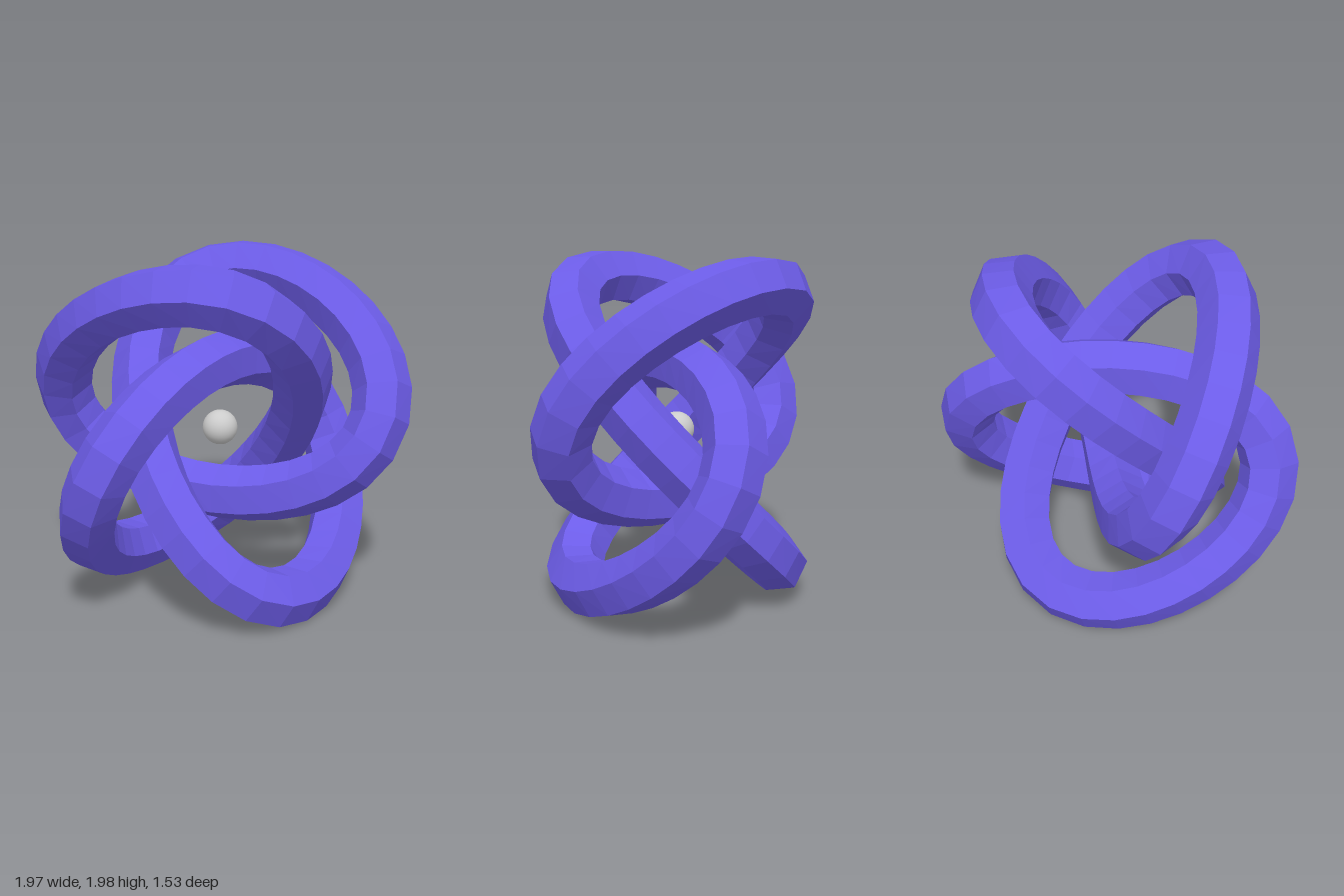
import * as THREE from 'three';

// Closed four-lobed knot: three turns around z, weaving front to back
class KnotCurve extends THREE.Curve {
  getPoint(u, target = new THREE.Vector3()) {
    const t = u * Math.PI * 2;
    return target.set(
      0.70 * Math.cos(3 * t) - 0.26 * Math.cos(t),
      0.69 * Math.sin(3 * t) + 0.30 * Math.sin(t),
      0.525 * Math.sin(4 * t) + 0.105 * Math.sin(2 * t)
    );
  }
}

export function createModel() {
  const group = new THREE.Group();
  group.name = 'knotSculpture';

  // Six-sided faceted tube following the knot
  const knot = new THREE.Mesh(
    new THREE.TubeGeometry(new KnotCurve(), 100, 0.165, 6, true),
    new THREE.MeshStandardMaterial({ color: 0x6c5ce7, flatShading: true })
  );
  knot.name = 'knotTube';
  knot.position.y = 1;

  // Small smooth ball in the middle
  const ball = new THREE.Mesh(
    new THREE.SphereGeometry(0.1, 32, 16),
    new THREE.MeshStandardMaterial({ color: 0xcccccc })
  );
  ball.name = 'centreBall';
  ball.position.y = 1;

  group.add(knot, ball);
  return group;
}
